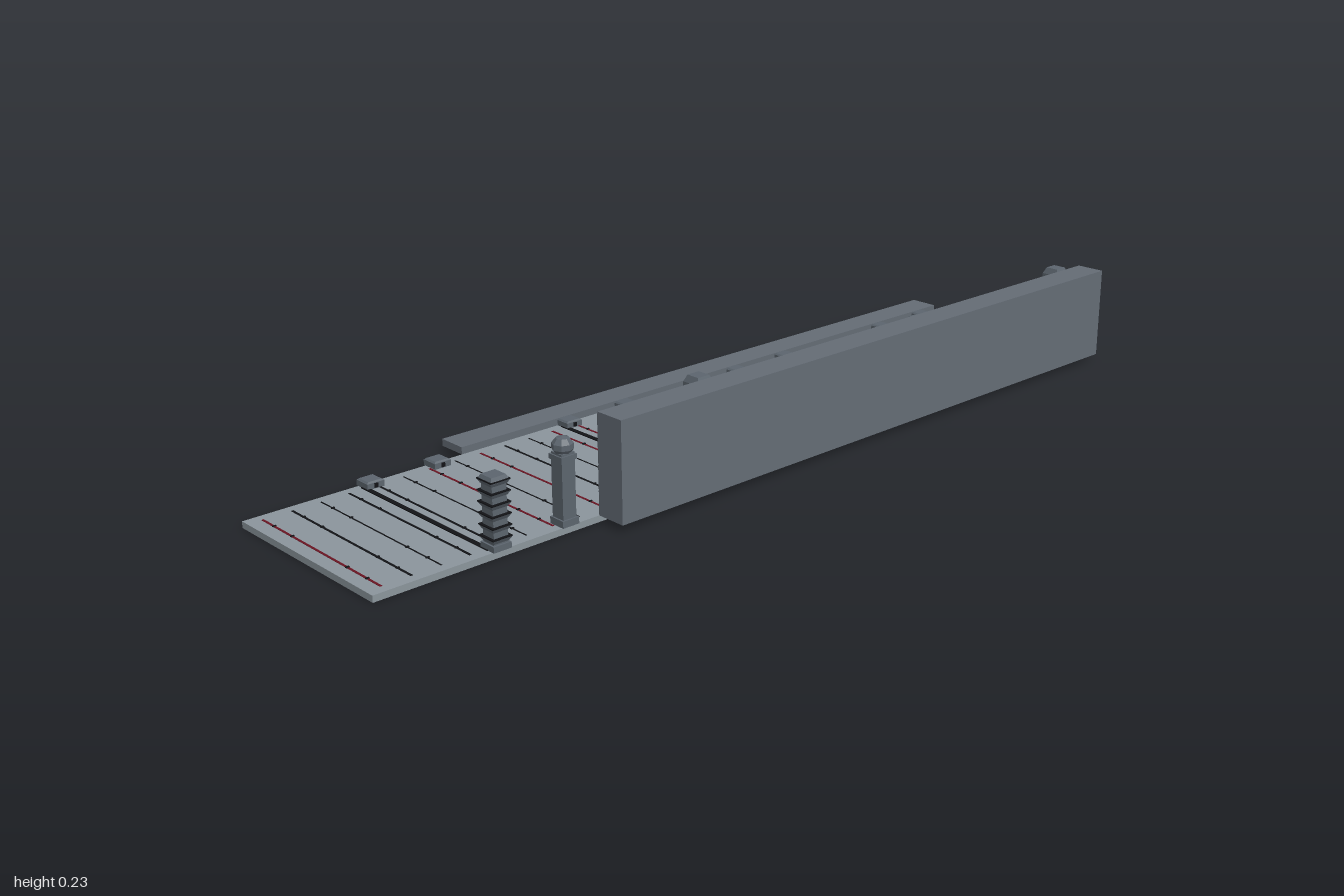
import * as THREE from 'three';

const mat = (name, color) => Object.assign(new THREE.MeshStandardMaterial({ color, flatShading: true }), { name });

export function createModel() {
  const stone = mat('floorStone', 0x8b959c);
  const wallStone = mat('wallStone', 0x646c75);
  const pillarStone = mat('pillarStone', 0x5c656e);
  const panelStone = mat('panelStone', 0x5a6269);
  const black = mat('blackSeam', 0x121316);
  const red = mat('redSeam', 0x6a1422);
  const gold = mat('gold', 0xb08430);
  const grey = mat('featherGrey', 0x3c4048);

  const root = new THREE.Group();
  root.name = 'corridor';
  const add = (parent, name, geo, m, x, y, z) => {
    const mesh = new THREE.Mesh(geo, m);
    mesh.name = name;
    mesh.position.set(x, y, z);
    parent.add(mesh);
    return mesh;
  };
  // box given by centre x, bottom y, centre z
  const box = (parent, name, m, w, h, d, x, y, z) =>
    add(parent, name, new THREE.BoxGeometry(w, h, d), m, x, y + h / 2, z);
  const group = (name, x, y, z) => {
    const g = new THREE.Group();
    g.name = name;
    g.position.set(x, y, z);
    root.add(g);
    return g;
  };
  // four-sided tapered block, widths measured across the flats
  const taper = (parent, name, m, wBottom, wTop, h, y) => {
    const geo = new THREE.CylinderGeometry(wTop * Math.SQRT1_2, wBottom * Math.SQRT1_2, h, 4);
    geo.rotateY(Math.PI / 4);
    return add(parent, name, geo, m, 0, y + h / 2, 0);
  };

  // Floor slab and raised paving
  box(root, 'floorBase', stone, 0.436, 0.01, 2, 0, 0, 0);
  box(root, 'floorPaving', stone, 0.436, 0.0035, 2, 0, 0.01, 0);

  // Seams across the floor: b = black, r = red, t = thin
  const seams = 'btrrbrtttttrbrbrbttrrtbrtrtbbtbr';
  [...seams].forEach((kind, i) => {
    const z = -1 + (i + 0.5) / 16;
    const d = kind === 't' ? 0.003 : 0.005;
    box(root, 'floorSeam', kind === 'r' ? red : black, 0.395, 0.001, d, 0, 0.0132, z);
    for (const x of [-0.155, -0.092, 0.092, 0.155])
      box(root, 'floorStud', black, 0.004, 0.0025, 0.007, x, 0.0132, z);
  });
  for (const z of [-0.755, -0.252, 0.246, 0.745])
    box(root, 'thresholdBar', black, 0.41, 0.0022, 0.01, 0, 0.0132, z);

  // Tall wall and cut-away low wall
  box(root, 'tallWall', wallStone, 0.066, 0.207, 1.5, 0.252, 0.0135, -0.25);
  box(root, 'lowWall', wallStone, 0.068, 0.0155, 1.5, -0.252, 0.0135, -0.25);

  // Panels on the inner face of the tall wall, with dark joints behind
  box(root, 'wallJoints', black, 0.001, 0.2, 1.49, 0.2187, 0.014, -0.25);
  for (let i = 0; i < 18; i++)
    for (let j = 0; j < 4; j++)
      box(root, 'wallPanel', panelStone, 0.003, 0.0485, 0.0805, 0.2175, 0.0145 + j * 0.051, -1 + (i + 0.5) / 12);

  // Pillar kinds
  const ribbed = (g) => {
    box(g, 'plinth', pillarStone, 0.04, 0.012, 0.04, 0, 0, 0);
    box(g, 'shaft', pillarStone, 0.032, 0.132, 0.032, 0, 0.01, 0);
    for (let i = 0; i < 6; i++) {
      taper(g, 'rib', pillarStone, 0.034, 0.043, 0.008, 0.015 + i * 0.022);
      box(g, 'ribEdge', black, 0.0435, 0.002, 0.0435, 0, 0.023 + i * 0.022, 0);
    }
    taper(g, 'cap', pillarStone, 0.042, 0.032, 0.01, 0.132);
  };
  const plain = (g, height) => {
    box(g, 'plinth', pillarStone, 0.04, 0.016, 0.04, 0, 0, 0);
    taper(g, 'foot', pillarStone, 0.04, 0.031, 0.01, 0.016);
    box(g, 'shaft', pillarStone, 0.031, height - 0.05, 0.031, 0, 0.02, 0);
    box(g, 'inlay', black, 0.001, height - 0.07, 0.006, -0.016, 0.03, 0);
    for (const s of [-1, 1]) box(g, 'sideInlay', black, 0.006, height - 0.07, 0.001, 0, 0.03, s * 0.0157);
    taper(g, 'neck', pillarStone, 0.031, 0.042, 0.01, height - 0.038);
    box(g, 'capital', pillarStone, 0.042, 0.014, 0.042, 0, height - 0.028, 0);
    taper(g, 'cap', pillarStone, 0.042, 0.03, 0.014, height - 0.014);
  };
  const domed = (g, height) => {
    box(g, 'plinth', pillarStone, 0.038, 0.014, 0.038, 0, 0, 0);
    box(g, 'shaft', pillarStone, 0.031, height - 0.04, 0.031, 0, 0.01, 0);
    box(g, 'inlay', black, 0.001, height - 0.06, 0.005, -0.016, 0.025, 0);
    const profile = [[0, -0.036], [0.014, -0.034], [0.021, -0.024], [0.021, -0.013], [0.013, -0.003], [0, 0]]
      .map(([r, y]) => new THREE.Vector2(r, y));
    add(g, 'head', new THREE.LatheGeometry(profile, 8), pillarStone, 0, height, 0);
    box(g, 'collar', pillarStone, 0.037, 0.01, 0.037, 0, height - 0.044, 0);
  };

  // Standing row on one side, cut stumps on the other
  const row = [
    [-0.93, plain, 0.212], [-0.775, ribbed], [-0.43, plain, 0.194], [-0.27, ribbed],
    [0.07, domed, 0.176], [0.23, plain, 0.212], [0.57, domed, 0.173], [0.728, ribbed],
  ];
  for (const [z, build, height] of row) {
    build(group('pillar', 0.202, 0.0135, z), height);
    const stump = group('pillarStump', -0.204, 0.0135, z);
    box(stump, 'stumpBase', pillarStone, 0.039, 0.012, 0.039, 0, 0, 0);
    taper(stump, 'stumpTop', pillarStone, 0.037, 0.031, 0.003, 0.012);
    box(stump, 'stumpInlay', black, 0.003, 0.009, 0.008, 0.02, 0.002, 0);
  }

  // Small lanterns
  for (const [x, z] of [[-0.043, -0.525], [0.04, -0.42]]) {
    const g = group('lantern', x, 0.0135, z);
    add(g, 'lanternFoot', new THREE.CylinderGeometry(0.008, 0.008, 0.003, 8), gold, 0, 0.0015, 0);
    add(g, 'lanternBody', new THREE.CylinderGeometry(0.006, 0.007, 0.015, 8), gold, 0, 0.01, 0);
    add(g, 'lanternBand', new THREE.CylinderGeometry(0.0078, 0.0078, 0.002, 8), black, 0, 0.0175, 0);
    add(g, 'lanternRoof', new THREE.ConeGeometry(0.008, 0.006, 8), gold, 0, 0.0215, 0);
  }

  // Hovering winged creature
  const flyer = group('flyer', 0, 0.061, -0.738);
  const body = add(flyer, 'flyerBody', new THREE.OctahedronGeometry(0.005), grey, 0, 0, 0);
  body.scale.set(0.8, 0.8, 1.8);
  for (const s of [-1, 1]) {
    const wing = box(flyer, 'flyerWing', grey, 0.019, 0.0012, 0.007, s * 0.011, 0, -0.001);
    wing.rotation.set(0, s * 0.2, -s * 0.06);
  }
  return root;
}
